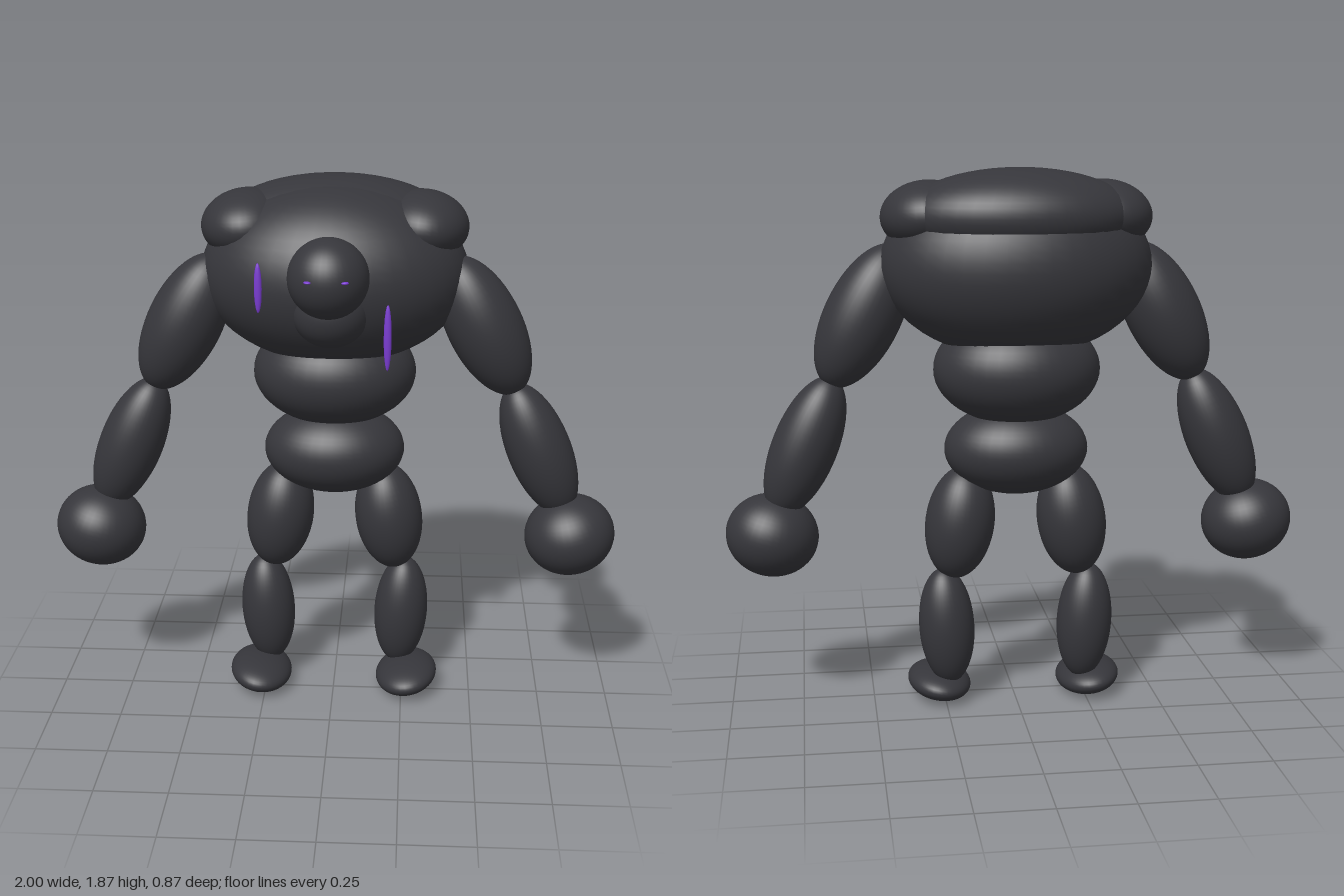
import * as THREE from 'three';

export function createModel() {
  const group = new THREE.Group();
  const hide = new THREE.MeshStandardMaterial({ color: 0x36363b });
  hide.name = 'charcoal hide';
  const glow = new THREE.MeshStandardMaterial({ color: 0x7a3cd2 });
  glow.name = 'violet glow';

  const ball = new THREE.SphereGeometry(1, 40, 28);
  const bead = new THREE.SphereGeometry(1, 12, 10);

  // Ellipsoid at a centre with three radii and an optional roll about z
  function blob(name, pos, radii, roll = 0, material = hide, geometry = ball) {
    const mesh = new THREE.Mesh(geometry, material);
    mesh.name = name;
    mesh.position.set(...pos);
    mesh.scale.set(...radii);
    mesh.rotation.z = roll;
    group.add(mesh);
  }

  // Torso
  blob('chest', [0, 1.55, -0.1], [0.46, 0.31, 0.335]);
  blob('upperBack', [0, 1.72, -0.17], [0.39, 0.157, 0.247]);
  blob('belly', [0, 1.2, -0.108], [0.285, 0.19, 0.237]);
  blob('pelvis', [0, 0.92, -0.09], [0.248, 0.158, 0.2]);

  // Head and neck
  blob('neck', [0, 1.48, 0.16], [0.13, 0.12, 0.125]);
  blob('head', [0, 1.625, 0.3], [0.132, 0.131, 0.132]);

  // Limbs, mirrored
  for (const [side, s] of [['left', 1], ['right', -1]]) {
    blob(side + 'Shoulder', [s * 0.302, 1.72, -0.11], [0.155, 0.115, 0.2], s * -0.1);
    blob(side + 'UpperArm', [s * 0.517, 1.38, -0.055], [0.13, 0.265, 0.13], s * 0.47);
    blob(side + 'Forearm', [s * 0.722, 0.935, -0.052], [0.112, 0.258, 0.112], s * 0.4);
    blob(side + 'Fist', [s * 0.842, 0.623, -0.035], [0.16, 0.143, 0.16], s * 0.25);
    blob(side + 'Thigh', [s * 0.196, 0.66, -0.09], [0.12, 0.2, 0.122], s * 0.14);
    blob(side + 'Shin', [s * 0.245, 0.285, -0.09], [0.097, 0.21, 0.095], s * -0.06);
    blob(side + 'Foot', [s * 0.268, 0.062, -0.025], [0.112, 0.056, 0.16], s * 0.14);
    blob(side + 'Eye', [s * 0.058, 1.638, 0.415], [0.013, 0.005, 0.013], 0, glow, bead);
  }

  // Glowing cracks on the chest
  blob('rightCrack', [-0.232, 1.573, 0.232], [0.013, 0.083, 0.009], 0, glow, bead);
  blob('leftCrack', [0.19, 1.413, 0.236], [0.013, 0.112, 0.009], 0, glow, bead);

  return group;
}
